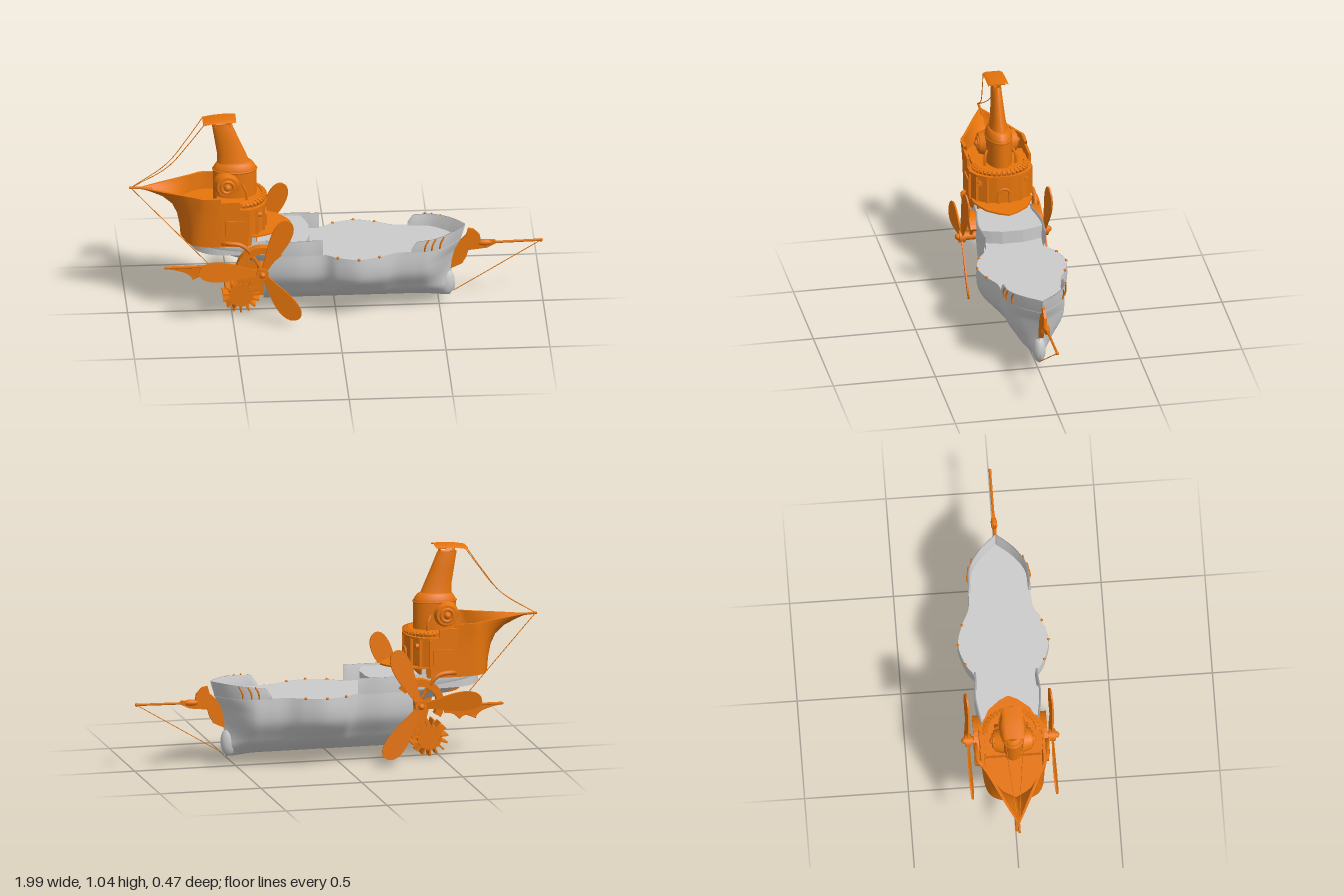
import * as THREE from 'three';

const grey = new THREE.MeshStandardMaterial({ color: 0xcccccc, side: THREE.DoubleSide });
const orange = new THREE.MeshStandardMaterial({ color: 0xe6740c, side: THREE.DoubleSide });
const V = (x, y, z = 0) => new THREE.Vector3(x, y, z);
const V2 = (p) => new THREE.Vector2(p[0], p[1]);
const spline = (pts, n) => new THREE.SplineCurve(pts.map(V2)).getPoints(n);

export function createModel() {
  const model = new THREE.Group();
  const add = (name, geo, mat = orange, parent = model) => {
    const m = new THREE.Mesh(geo, mat);
    m.name = name;
    parent.add(m);
    return m;
  };
  // Surface through rows of points
  const grid = (rows) => {
    const n = rows[0].length, idx = [];
    for (let i = 0; i < rows.length - 1; i++) for (let j = 0; j < n - 1; j++) {
      const a = i * n + j, b = a + n;
      idx.push(a, b, a + 1, b, b + 1, a + 1);
    }
    const g = new THREE.BufferGeometry().setFromPoints(rows.flat());
    g.setIndex(idx);
    g.computeVertexNormals();
    return g;
  };
  // Horizontal plate from a half outline [x, z], mirrored in z
  const slab = (half, top, depth) => {
    const pts = [...half, ...half.slice().reverse().map(([x, z]) => [x, -z])].map(V2);
    return new THREE.ExtrudeGeometry(new THREE.Shape(pts), { depth, bevelEnabled: false })
      .rotateX(Math.PI / 2).translate(0, top, 0);
  };
  // Upright plate in the x-y plane
  const plate = (shape, depth) => new THREE.ExtrudeGeometry(shape, { depth, bevelEnabled: false, curveSegments: 8 })
    .translate(0, 0, -depth / 2);
  const tube = (pts, r, n = 16) => new THREE.TubeGeometry(new THREE.CatmullRomCurve3(pts), n, r, 6);
  const box = (w, h, d, x, y, z) => new THREE.BoxGeometry(w, h, d).translate(x, y, z);

  // Hull: half widths along the length, one section swept from keel to rail
  const beam = spline([[-0.345, 0.135], [-0.2, 0.157], [-0.07, 0.15], [0, 0.19], [0.1, 0.218], [0.2, 0.192],
    [0.28, 0.155], [0.37, 0.147], [0.46, 0.138], [0.54, 0.085], [0.61, 0.003]], 70);
  const section = spline([[1, 1], [1.01, 0.77], [0.93, 0.55], [0.66, 0.33], [0.43, 0.17], [0, 0]], 18);
  const stem = new THREE.SplineCurve([[0.06, 0.555], [0.09, 0.578], [0.18, 0.558], [0.28, 0.572], [0.355, 0.605], [0.425, 0.625]].map(V2));
  const stemX = (y) => {
    const pts = stem.getPoints(40);
    return (pts.find((p) => p.x >= y) || pts[40]).y;
  };
  const hullX = (x, y) => x + (stemX(y) - 0.61) * THREE.MathUtils.smoothstep(x, 0.35, 0.61);
  const ring = (x, w, top, keel, rake = true) => {
    const half = section.map((p) => {
      const y = keel + p.y * (top - keel);
      return V(rake ? hullX(x, y) : x, y, w * p.x);
    });
    return [...half, ...half.slice(0, -1).reverse().map((p) => V(p.x, p.y, -p.z))];
  };
  const rings = beam.map((p) => ring(p.x, p.y, 0.355, 0.06 - 0.01 * THREE.MathUtils.smoothstep(p.x, 0.4, 0.6)));
  add('hull', grid(rings), grey);
  add('hullSternWall', grid([rings[0], rings[0].map(() => V(-0.345, 0.22))]), grey);
  const foot = add('bowFoot', new THREE.SphereGeometry(1, 16, 12), grey);
  foot.scale.set(0.04, 0.07, 0.032);
  foot.position.set(0.535, 0.12, 0);
  add('mainDeck', slab(beam.map((p) => [hullX(p.x, 0.355), p.y]), 0.354, 0.008), grey);

  // Stern overhang
  const aft = spline([[-0.7, 0.004], [-0.67, 0.07], [-0.6, 0.12], [-0.48, 0.135], [-0.345, 0.135]], 20);
  add('sternOverhang', grid(aft.map((p) => ring(p.x, p.y, 0.43,
    THREE.MathUtils.mapLinear(p.x, -0.7, -0.345, 0.36, 0.24), false))), grey);
  const aftDeck = [...aft, ...beam.filter((p) => p.x > -0.345 && p.x < -0.16)].map((p) => [p.x, p.y - 0.003]);
  add('aftDeck', slab([...aftDeck, [-0.14, 0.1], [-0.127, 0.05]], 0.42, 0.065), grey);
  add('cabinFooting', box(0.18, 0.06, 0.27, -0.48, 0.43, 0), grey);

  // Bulwarks at the bow and beside the aft deck
  for (const s of [1, -1]) {
    const bulwark = (name, from, to, topAt) => {
      const pts = beam.filter((p) => p.x >= from && p.x <= to);
      const line = (inset, up) => pts.map((p) => {
        const y = up ? topAt(p.x) : 0.35;
        return V(hullX(p.x, y), y, s * Math.max(p.y + (up ? 0.004 : 0) - inset, 0));
      });
      add(name, grid([line(0, 0), line(0, 1), line(0.009, 1), line(0.009, 0)]), grey);
    };
    bulwark('aftBulwark', -0.345, -0.07, () => 0.43);
    bulwark('bowBulwark', 0.345, 0.62, (x) => 0.356 + 0.052 * THREE.MathUtils.smoothstep(x, 0.345, 0.39) + 0.014 * THREE.MathUtils.smoothstep(x, 0.38, 0.6));
    for (const x of [0.42, 0.455, 0.495]) {
      const z = s * (beam.find((p) => p.x >= x).y + 0.003);
      add('bowLashing', tube([V(x, 0.355, z), V(x + 0.004, 0.385, z + s * 0.005), V(x + 0.02, 0.415, z)], 0.004, 6));
    }
    for (const x of [0, 0.1, 0.2]) {
      add('railPeg', new THREE.SphereGeometry(0.007, 8, 6)).position.set(x, 0.355, s * beam.find((p) => p.x >= x).y);
    }
  }

  // Figurehead and bowsprit
  const head = new THREE.Shape([[0.555, 0.19], [0.61, 0.215], [0.63, 0.25], [0.64, 0.285], [0.73, 0.295], [0.77, 0.315],
    [0.77, 0.333], [0.7, 0.335], [0.695, 0.365], [0.665, 0.395], [0.64, 0.4], [0.63, 0.365], [0.59, 0.325], [0.565, 0.29]].map(V2));
  add('figurehead', plate(head, 0.014));
  add('bowsprit', tube([V(0.6, 0.318), V(0.8, 0.322), V(0.985, 0.326)], 0.006));
  add('bowspritKnob', new THREE.SphereGeometry(0.009, 10, 8)).position.set(0.99, 0.326, 0);
  const collar = add('bowspritCollar', new THREE.SphereGeometry(0.016, 10, 8));
  collar.position.set(0.72, 0.322, 0);
  collar.scale.x = 2.4;
  add('bowRope', tube([V(0.57, 0.07), V(0.99, 0.325)], 0.002, 2));

  // Stern castle: pointed shell flaring out toward its tip
  const levels = [[0.41, -0.745, 0], [0.47, -0.75, 0.1], [0.53, -0.762, 0.25], [0.58, -0.785, 0.4], [0.62, -0.83, 0.65], [0.648, -0.89, 0.9], [0.67, -0.95, 1]];
  const shell = (inset) => levels.map(([y, tip, f]) => {
    const w = (a, b) => THREE.MathUtils.lerp(a, b, f) - inset;
    const half = spline([[tip + inset, 0.002], [THREE.MathUtils.lerp(tip, -0.68, 0.42), w(0.085, 0.06)],
      [-0.69, w(0.122, 0.13)], [-0.64, w(0.142, 0.155)], [-0.56, w(0.15, 0.155)]], 18);
    return [...half.slice().reverse().map((p) => V(p.x, y, p.y)), ...half.map((p) => V(p.x, y, -p.y))];
  });
  const outer = shell(0), inner = shell(0.014);
  add('sternCastle', grid(outer));
  add('sternCastleLining', grid(inner));
  add('sternRail', grid([outer[6], inner[6]]));
  const floor = (lv, y) => slab(outer[lv].slice(0, 19).map((p) => [p.x, p.z * 0.98]), y, 0.006);
  add('sternCastleFloor', floor(0, 0.416));
  add('poopDeck', floor(3, 0.585));
  add('sternSpike', tube([V(-0.88, 0.66), V(-0.94, 0.668), V(-0.992, 0.67)], 0.006));

  // Cabin, front platform and gallery
  const cabin = [[-0.57, 0.15], [-0.43, 0.15], [-0.385, 0.125], [-0.352, 0.08], [-0.34, 0.035]];
  add('cabin', slab(cabin, 0.6, 0.14));
  add('cabinBase', slab([[-0.57, 0.148], [-0.43, 0.148], [-0.385, 0.12]], 0.465, 0.055));
  add('platform', slab([[-0.5, 0.15], [-0.38, 0.145], [-0.33, 0.125], [-0.28, 0.1], [-0.235, 0.045], [-0.215, 0.004]], 0.465, 0.008));
  add('galleryFloor', slab(cabin.map(([x, z]) => [x + 0.008, z * 1.03]), 0.608, 0.012));
  add('gallery', slab(cabin.map(([x, z]) => [x - 0.004, z * 0.88]), 0.628, 0.022));
  for (let i = 0; i < 19; i++) {
    const a = (i / 18 - 0.5) * Math.PI;
    const b = add('galleryBlock', new THREE.BoxGeometry(0.028, 0.014, 0.013));
    b.position.set(-0.45 + 0.105 * Math.cos(a), 0.622, 0.128 * Math.sin(a));
    b.rotation.set(0, -a, -0.35, 'YXZ');
  }
  for (const s of [1, -1]) {
    for (const [x, z] of [[-0.43, 0.15], [-0.385, 0.125], [-0.352, 0.08]]) add('pillar', box(0.014, 0.14, 0.012, x, 0.53, s * z));
    add('cabinWindow', new THREE.CylinderGeometry(0.012, 0.012, 0.02, 12).rotateZ(Math.PI / 2)).position.set(-0.372, 0.565, s * 0.113);
    add('sidePanel', slab([[-0.54, 0], [-0.54, 0.157], [-0.44, 0.157], [-0.44, 0]], 0.55, 0.075));
    add('roofBracket', box(0.1, 0.05, 0.012, -0.52, 0.625, s * 0.15));
    add('doorPost', box(0.014, 0.05, 0.01, -0.337, 0.488, s * 0.027));
  }
  add('doorArch', new THREE.TorusGeometry(0.027, 0.006, 6, 14, Math.PI).rotateY(Math.PI / 2)).position.set(-0.337, 0.512, 0);

  // Oval tower and funnel
  const tower = add('tower', new THREE.LatheGeometry([[0.105, 0.58], [0.105, 0.76], [0.1, 0.775], [0.086, 0.795], [0.07, 0.803], [0, 0.803]].map(V2), 32));
  tower.position.x = -0.485;
  tower.scale.z = 0.61;
  const rim = add('towerRim', new THREE.TorusGeometry(0.105, 0.005, 6, 32).rotateX(Math.PI / 2));
  rim.position.set(-0.485, 0.76, 0);
  rim.scale.z = 0.61;
  add('funnel', grid([[0.79, -0.49, 0.08, 0.046], [0.84, -0.5, 0.069, 0.036], [0.92, -0.524, 0.058, 0.029], [1, -0.547, 0.048, 0.023], [1, -0.547, 0.036, 0.015], [0.96, -0.535, 0, 0]]
    .map(([y, x, rx, rz]) => Array.from({ length: 25 }, (_, i) => V(x + rx * Math.cos(i * Math.PI / 12), y, rz * Math.sin(i * Math.PI / 12))))));
  add('funnelCap', grid([-0.05, -0.035, 0.035, 0.05].map((z) => [-0.64, -0.59, -0.53, -0.48].map((x, i) =>
    V(x, 1.016 + [0, 0.009, 0.014, 0.013][i] + (Math.abs(z) < 0.04 ? 0.007 : -0.003), z)))));
  add('funnelCapBase', box(0.13, 0.006, 0.075, -0.56, 1.022, 0));
  for (const x of [-0.58, -0.51]) for (const z of [-0.016, 0.016]) add('capPost', box(0.005, 0.04, 0.005, x, 1.008, z));

  for (const s of [1, -1]) {
    // Round lamp housing on the tower side
    const lamp = new THREE.Group();
    lamp.name = 'sideLamp';
    lamp.position.set(-0.525, 0.702, s * 0.05);
    if (s < 0) lamp.rotation.y = Math.PI;
    model.add(lamp);
    add('lampDrum', new THREE.CylinderGeometry(0.05, 0.066, 0.045, 24).rotateX(Math.PI / 2).translate(0, 0, 0.018), orange, lamp);
    add('lampRing', new THREE.TorusGeometry(0.03, 0.008, 8, 20).translate(0, 0, 0.042), orange, lamp);
    add('lampKnob', new THREE.SphereGeometry(0.017, 12, 8).translate(0, 0, 0.046), orange, lamp);
    add('towerPipe', tube([V(-0.45, 0.7, s * 0.062), V(-0.435, 0.67, s * 0.075), V(-0.43, 0.61, s * 0.075)], 0.007));

    // Side propeller with its housing and pipes
    const prop = new THREE.Group();
    prop.name = 'propeller';
    prop.position.set(-0.365, 0.29, s * 0.203);
    model.add(prop);
    const blade = new THREE.Shape();
    blade.moveTo(0, -0.014);
    blade.bezierCurveTo(0.08, -0.02, 0.14, -0.055, 0.22, -0.055);
    blade.bezierCurveTo(0.28, -0.053, 0.305, -0.03, 0.305, 0.004);
    blade.bezierCurveTo(0.3, 0.045, 0.23, 0.05, 0.17, 0.04);
    blade.bezierCurveTo(0.1, 0.03, 0.06, 0.014, 0, 0.014);
    for (const deg of [66, 178, -55]) {
      const b = add('blade', plate(blade, 0.008), orange, prop);
      b.rotation.set(0.14, 0, THREE.MathUtils.degToRad(deg), 'ZYX');
    }
    add('hub', new THREE.CylinderGeometry(0.03, 0.03, 0.03, 16).rotateX(Math.PI / 2), orange, prop);
    add('hubKnob', new THREE.SphereGeometry(0.016, 12, 8).translate(0, 0, s * 0.018), orange, prop);
    add('shaft', new THREE.CylinderGeometry(0.02, 0.02, 0.1, 12).rotateX(Math.PI / 2).translate(0, 0, -s * 0.05), orange, prop);
    const guard = new THREE.Shape().absarc(0, 0, 0.125, 0.7, 3.7, false).absarc(0, 0, 0.09, 3.7, 0.7, true);
    add('propellerGuard', plate(guard, 0.04).translate(0, 0, -s * 0.045), orange, prop);
    for (const a of [1, 2.1, 3.3]) add('guardStrut', tube([V(0, 0, -s * 0.045), V(0.11 * Math.cos(a), 0.11 * Math.sin(a), -s * 0.045)], 0.009, 2), orange, prop);
    add('steamPipe', tube([V(-0.56, 0.425, s * 0.135), V(-0.53, 0.437, s * 0.165), V(-0.47, 0.432, s * 0.172), V(-0.43, 0.4, s * 0.172), V(-0.41, 0.35, s * 0.16)], 0.011, 20));
  }

  // Toothed drive wheel under the stern
  const wheel = new THREE.Group();
  wheel.name = 'driveWheel';
  wheel.position.set(-0.455, 0.09, 0);
  model.add(wheel);
  add('wheelDrum', new THREE.CylinderGeometry(0.06, 0.06, 0.06, 28).rotateX(Math.PI / 2), orange, wheel);
  for (let i = 0; i < 15; i++) add('tooth', box(0.04, 0.009, 0.07, 0.07, 0, 0), orange, wheel).rotation.z = -Math.PI / 2 + i * Math.PI * 2 / 15;
  const bracket = new THREE.Shape([[-0.345, 0.085], [-0.46, 0.085], [-0.475, 0.13], [-0.44, 0.19], [-0.47, 0.3], [-0.345, 0.3]].map(V2));
  add('wheelBracket', plate(bracket, 0.05));

  // Scalloped tail fin
  const fin = new THREE.Shape();
  fin.moveTo(-0.825, 0.238);
  fin.lineTo(-0.53, 0.238);
  fin.lineTo(-0.535, 0.2);
  fin.quadraticCurveTo(-0.57, 0.21, -0.61, 0.168);
  fin.quadraticCurveTo(-0.63, 0.2, -0.69, 0.178);
  fin.quadraticCurveTo(-0.71, 0.215, -0.825, 0.23);
  add('tailFin', plate(fin, 0.008));
  add('tailSpar', tube([V(-0.82, 0.234), V(-0.45, 0.238)], 0.007, 4));
  for (const x of [-0.61, -0.69]) add('finRib', tube([V(-0.54, 0.235), V(x, 0.172)], 0.005, 2));

  // Stern rigging
  for (const s of [1, -1]) add('sternStay', tube([V(-0.985, 0.67), V(-0.81, 0.785, s * 0.02), V(-0.71, 0.91, s * 0.034), V(-0.635, 1.017, s * 0.045)], 0.002, 20));
  add('tailRope', tube([V(-0.985, 0.67), V(-0.6, 0.238)], 0.002, 2));
  return model;
}
